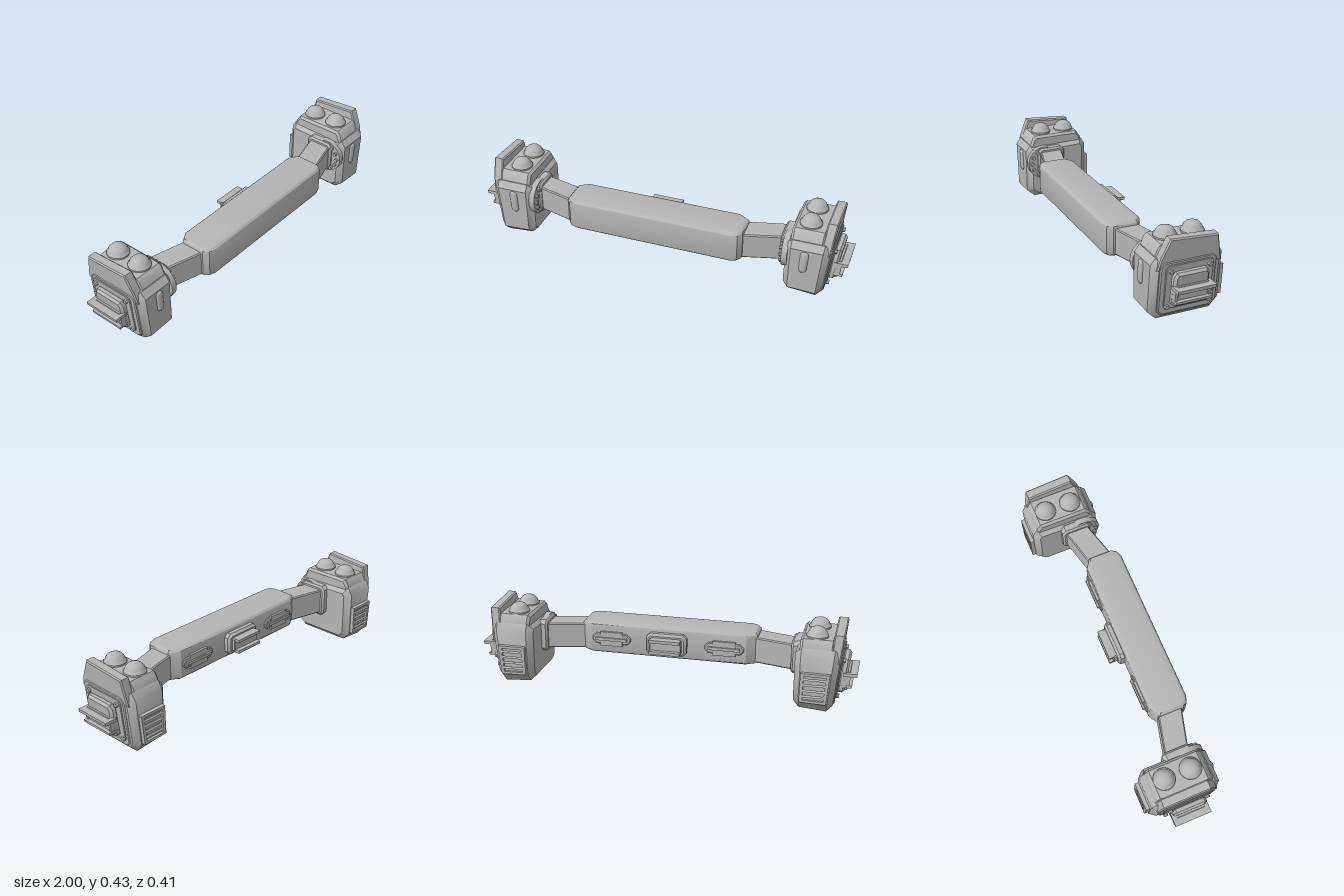
import * as THREE from 'three';
import { toCreasedNormals } from 'three/addons/utils/BufferGeometryUtils.js';

const grey = new THREE.MeshStandardMaterial({ color: 0xb5b5b5 });
grey.name = 'plain grey';

function add(group, name, geometry, crease = 0.6) {
  const mesh = new THREE.Mesh(toCreasedNormals(geometry, crease), grey);
  mesh.name = name;
  group.add(mesh);
  return mesh;
}

function extrude(points, depth, bevel, holes = [], segments = 1) {
  const shape = new THREE.Shape(points.map(p => new THREE.Vector2(...p)));
  for (const hole of holes) shape.holes.push(new THREE.Path(hole.map(p => new THREE.Vector2(...p))));
  const g = new THREE.ExtrudeGeometry(shape, {
    depth: depth - 2 * bevel, bevelEnabled: bevel > 0, bevelThickness: bevel,
    bevelSize: bevel, bevelOffset: -bevel, bevelSegments: segments, curveSegments: 8,
  });
  return g.translate(0, 0, bevel);
}

// Side profile given as [z, y], extruded along x
function slab(points, x0, x1, bevel = 0, holes = []) {
  const flip = list => list.map(([z, y]) => [-z, y]);
  return extrude(flip(points), x1 - x0, bevel, holes.map(flip)).rotateY(Math.PI / 2).translate(x0, 0, 0);
}

// Plan outline given as [x, z], extruded along y
function plan(points, y0, y1, bevel = 0, segments = 1) {
  return extrude(points.map(([x, z]) => [x, -z]), y1 - y0, bevel, [], segments)
    .rotateX(-Math.PI / 2).translate(0, y0, 0);
}

// Front outline given as [x, y], extruded backwards from z0 (larger) to z1
function plate(points, z0, z1, bevel = 0) {
  return extrude(points, z0 - z1, bevel).translate(0, 0, z1);
}

// Rectangle with cut corners
function oct(a0, a1, b0, b1, c) {
  return [[a0 + c, b0], [a1 - c, b0], [a1, b0 + c], [a1, b1 - c],
    [a1 - c, b1], [a0 + c, b1], [a0, b1 - c], [a0, b0 + c]];
}

function box(x0, x1, y0, y1, z0, z1) {
  return new THREE.BoxGeometry(x1 - x0, y1 - y0, z1 - z0)
    .translate((x0 + x1) / 2, (y0 + y1) / 2, (z0 + z1) / 2);
}

function disc(radius, x0, x1, y, z, sides) {
  return new THREE.CylinderGeometry(radius * 0.9, radius, x1 - x0, sides)
    .rotateZ(-Math.PI / 2).translate((x0 + x1) / 2, y, z);
}

// Outer walls lean outwards towards the top
function lean(g) {
  const p = g.attributes.position;
  for (let i = 0; i < p.count; i++) {
    const w = THREE.MathUtils.clamp((p.getX(i) - 0.7) / 0.2, 0, 1.3);
    const y = p.getY(i);
    p.setX(i, p.getX(i) + 0.1 * (y - 0.2) * w);
    p.setY(i, y + Math.max(0, 0.1 - y) * 0.15 * (1 - Math.min(w, 1)));
  }
  g.computeVertexNormals();
  return g;
}

function createEnd() {
  const end = new THREE.Group();
  const part = (name, g, crease) => add(end, name, lean(g), crease);

  // Main housing and raised top
  part('housing', slab([[0.13, 0], [0.175, 0.045], [0.175, 0.29], [0.15, 0.325], [-0.165, 0.335],
    [-0.19, 0.295], [-0.19, 0.05], [-0.15, 0]], 0.69, 0.905, 0.03));
  part('raisedTop', slab([[0.155, 0.3], [0.13, 0.365], [0.115, 0.378], [-0.14, 0.378],
    [-0.165, 0.34], [-0.165, 0.3]], 0.71, 0.87, 0.012));

  // Tall outer fin
  part('fin', slab([[0.155, 0.27], [0.14, 0.33], [0.098, 0.425], [-0.145, 0.408],
    [-0.158, 0.34], [-0.17, 0.27]], 0.86, 0.908, 0.006));

  // Two domes with a collar
  for (const z of [-0.085, 0.055]) {
    const profile = [[0.056, 0], [0.056, 0.012], [0.05, 0.018], [0.045, 0.032], [0.033, 0.046],
      [0.018, 0.053], [0, 0.055]].map(p => new THREE.Vector2(...p));
    add(end, 'dome', new THREE.LatheGeometry(profile, 24).translate(0.79, 0.374, z), 0.7);
  }

  // Layered outer panel
  part('outerPanel', slab(oct(-0.145, 0.14, 0.035, 0.31, 0.02), 0.9, 0.912, 0.005));
  part('panelRim', slab(oct(-0.128, 0.115, 0.065, 0.295, 0.015), 0.91, 0.918, 0.003));
  for (const [z, y] of [[0.092, 0.267], [-0.105, 0.267], [0.1, 0.078], [-0.114, 0.078]])
    part('panelBolt', disc(0.013, 0.91, 0.93, y, z, 6));

  // Framed grip with two ledges
  part('gripFrame', slab([[0.07, 0.085], [0.088, 0.1], [0.086, 0.24], [0.072, 0.262],
    [-0.08, 0.262], [-0.094, 0.24], [-0.098, 0.1], [-0.082, 0.085]], 0.91, 0.952, 0.012));
  part('gripBlock', slab([[0.073, 0.1], [0.073, 0.2], [-0.083, 0.2], [-0.083, 0.1]], 0.94, 0.965, 0.004));
  part('upperLedge', box(0.93, 1.0, 0.18, 0.197, -0.104, 0.091));
  part('lowerLedge', box(0.93, 0.985, 0.117, 0.13, -0.098, 0.087));
  for (const z of [0.08, -0.09])
    part('ledgeSide', box(0.93, 0.97, 0.125, 0.185, z - 0.007, z + 0.007));

  // Rear vent with slats
  part('ventBack', box(0.73, 0.865, 0.065, 0.215, -0.197, -0.18));
  for (const [x0, x1] of [[0.725, 0.742], [0.853, 0.87]])
    part('ventSide', box(x0, x1, 0.06, 0.22, -0.21, -0.18));
  for (const [y0, y1] of [[0.06, 0.075], [0.205, 0.22]])
    part('ventRail', box(0.725, 0.87, y0, y1, -0.21, -0.18));
  for (let i = 0; i < 4; i++) {
    const slat = new THREE.BoxGeometry(0.115, 0.012, 0.02).rotateX(0.4);
    part('ventSlat', slat.translate(0.797, 0.095 + i * 0.03, -0.2));
  }

  // Oblong knob on the front
  const knob = new THREE.CapsuleGeometry(0.021, 0.083, 6, 14).scale(1, 1, 0.6);
  part('frontKnob', knob.translate(0.79, 0.222, 0.174));

  // Joint plates, bolts and arm
  part('jointPlate', slab(oct(-0.04, 0.12, 0.14, 0.317, 0.02), 0.657, 0.71, 0.01));
  part('jointDisc', new THREE.CylinderGeometry(0.095, 0.095, 0.03, 28)
    .rotateZ(Math.PI / 2).translate(0.69, 0.228, 0.08));
  for (let i = 0; i < 5; i++) {
    const a = (i - 2) * 0.5;
    part('jointBolt', new THREE.CylinderGeometry(0.01, 0.01, 0.02, 8).rotateZ(Math.PI / 2)
      .translate(0.67, 0.228 + 0.075 * Math.sin(a), 0.08 + 0.075 * Math.cos(a)));
  }
  part('arm', plan([[0.44, 0.165], [0.68, 0.1], [0.68, -0.025], [0.44, 0.035]], 0.158, 0.297, 0.006));
  return end;
}

export function createModel() {
  const model = new THREE.Group();
  model.name = 'bar';

  // Central bar
  add(model, 'centreBar', plan([[-0.42, 0], [-0.475, 0.035], [-0.475, 0.165], [-0.455, 0.192], [-0.42, 0.203],
    [0.42, 0.203], [0.455, 0.192], [0.475, 0.165], [0.475, 0.035], [0.42, 0]], 0.147, 0.32, 0.024, 3), 0.5);

  // Back block with a slotted face
  add(model, 'backBase', plate(oct(-0.108, 0.108, 0.175, 0.293, 0.02), 0.01, -0.035, 0.012));
  add(model, 'backBlock', plate(oct(-0.085, 0.085, 0.195, 0.273, 0.008), -0.03, -0.055, 0.004));
  for (const y of [0.203, 0.265])
    add(model, 'backRail', box(-0.082, 0.082, y - 0.008, y + 0.008, -0.078, -0.05));

  // Small rear latches
  for (const s of [-1, 1]) {
    const x = s * 0.305;
    add(model, 'latchPlate', plate(oct(x - 0.105, x + 0.105, 0.205, 0.263, 0.02), 0.01, -0.01, 0.005));
    add(model, 'latchBlock', box(x - 0.06, x + 0.06, 0.195, 0.273, -0.013, 0.01));
    add(model, 'latchBand', box(x - 0.085, x + 0.085, 0.226, 0.242, -0.021, 0));
  }

  // Mirrored end housings
  const left = createEnd();
  left.name = 'leftEnd';
  const right = createEnd();
  right.name = 'rightEnd';
  right.scale.x = -1;
  model.add(left, right);
  return model;
}
